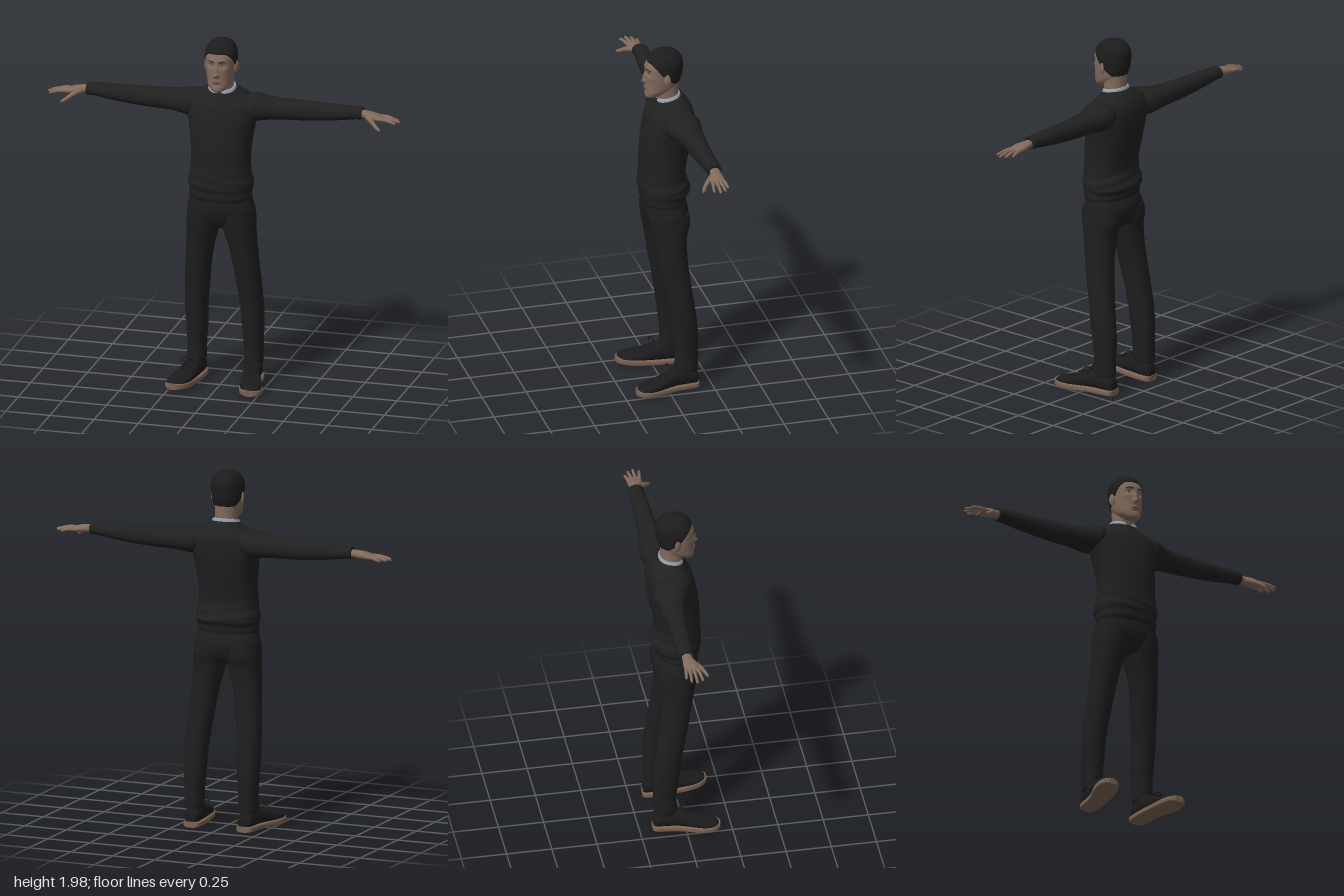
import * as THREE from 'three';

const mat = (name, color) => Object.assign(new THREE.MeshStandardMaterial({ color }), { name });

// Catmull-Rom blend of one column of the section table
function column(rows, k, f) {
  const i = Math.min(Math.floor(f), rows.length - 2), t = f - i;
  const at = (n) => rows[THREE.MathUtils.clamp(n, 0, rows.length - 1)][k];
  const [a, b, c, d] = [at(i - 1), at(i), at(i + 1), at(i + 2)];
  return b + 0.5 * t * (c - a + t * (2 * a - 5 * b + 4 * c - d + t * (3 * (b - c) + d - a)));
}

// Skin a surface over sections [along, centre, halfWidth, front, back]
const AXES = {
  y: (u, p, q) => new THREE.Vector3(p, u, q),
  x: (u, p, q) => new THREE.Vector3(u, p, q),
  z: (u, p, q) => new THREE.Vector3(p, q, u),
};
function loft(rows, axis = 'y', { n = 2.2, seg = 32, sub = 4, warp } = {}) {
  const pos = [], index = [], steps = (rows.length - 1) * sub;
  // first and last two rings close the ends
  for (let r = -2; r <= steps + 2; r++) {
    const f = THREE.MathUtils.clamp(r, 0, steps) / sub;
    const shrink = r === -2 || r === steps + 2 ? 0 : 1;
    const [u, c, h, q1, q0] = [0, 1, 2, 3, 4].map((k) => column(rows, k, f));
    for (let j = 0; j < seg; j++) {
      const a = (j / seg) * Math.PI * 2, ca = Math.cos(a), sa = Math.sin(a);
      const e = (v) => Math.sign(v) * Math.abs(v) ** (2 / n) * shrink;
      const v = AXES[axis](u, c + Math.max(h, 0) * e(ca), (q0 + q1) / 2 + ((q1 - q0) / 2) * e(sa));
      if (warp) warp(v);
      pos.push(v.x, v.y, v.z);
    }
  }
  for (let r = 0; r < steps + 4; r++) {
    for (let j = 0; j < seg; j++) {
      const a = r * seg + j, b = r * seg + ((j + 1) % seg), c = a + seg, d = b + seg;
      if (axis === 'y') index.push(a, c, b, b, c, d);
      else index.push(a, b, c, b, d, c);
    }
  }
  const g = new THREE.BufferGeometry();
  g.setAttribute('position', new THREE.Float32BufferAttribute(pos, 3));
  g.setIndex(index);
  g.computeVertexNormals();
  return g;
}

// Round tube that tapers from r0 to r1 and closes at its tip
function taper(points, r0, r1) {
  const curve = new THREE.CatmullRomCurve3(points.map((p) => new THREE.Vector3(...p)));
  const len = 16, rad = 10, g = new THREE.TubeGeometry(curve, len, 1, rad);
  const p = g.attributes.position, v = new THREE.Vector3();
  for (let i = 0; i < p.count; i++) {
    const t = Math.floor(i / (rad + 1)) / len, c = curve.getPointAt(t);
    const end = THREE.MathUtils.clamp((t - 0.85) / 0.15, 0, 1);
    const r = (r0 + (r1 - r0) * t) * Math.sqrt(1 - end * end);
    v.fromBufferAttribute(p, i).sub(c).multiplyScalar(r).add(c);
    p.setXYZ(i, v.x, v.y, v.z);
  }
  g.computeVertexNormals();
  g.computeBoundingSphere();
  return g;
}

function ball(x, y, z, rx, ry, rz, turn = 0) {
  return new THREE.SphereGeometry(1, 20, 14).scale(rx, ry, rz).rotateY(turn).translate(x, y, z);
}

function mirrorX(geo) {
  const g = geo.clone().scale(-1, 1, 1), ix = g.index.array;
  for (let i = 0; i < ix.length; i += 3) [ix[i], ix[i + 1]] = [ix[i + 1], ix[i]];
  g.computeVertexNormals();
  return g;
}

export function createModel() {
  const model = new THREE.Group();
  model.name = 'standingMan';
  const M = {
    sweater: mat('sweaterCharcoal', 0x202021), trousers: mat('trouserBlack', 0x1e1e1f),
    hair: mat('hairBlack', 0x1d1c1c), skin: mat('skinBrown', 0x826a5c),
    shoe: mat('shoeBlack', 0x1b1b1c), sole: mat('soleTan', 0x7a6251),
    collar: mat('shirtBlueGrey', 0x929eac), eye: mat('eyeWhite', 0x8f8883), lip: mat('lipBrown', 0x745850),
  };
  const add = (name, geo, m) => {
    const mesh = new THREE.Mesh(geo, m);
    mesh.name = name;
    model.add(mesh);
  };
  const pair = (name, geo, m) => {
    add(name + 'Left', geo, m);
    add(name + 'Right', mirrorX(geo), m);
  };

  // Sweater body, with soft folds at the waist and a neckline lower in front
  add('sweaterBody', loft([
    [1.075, 0, 0.165, 0.095, -0.13], [1.1, 0, 0.175, 0.105, -0.14], [1.13, 0, 0.172, 0.107, -0.146],
    [1.155, 0, 0.182, 0.114, -0.162], [1.19, 0, 0.177, 0.114, -0.154], [1.25, 0, 0.167, 0.11, -0.138],
    [1.33, 0, 0.165, 0.108, -0.148], [1.4, 0, 0.17, 0.105, -0.165], [1.48, 0, 0.182, 0.095, -0.178],
    [1.55, 0, 0.196, 0.08, -0.185], [1.61, 0, 0.193, 0.062, -0.183], [1.645, 0, 0.168, 0.045, -0.165],
    [1.67, 0, 0.125, 0.032, -0.14], [1.69, 0, 0.087, 0.022, -0.12], [1.697, 0, 0.078, 0.015, -0.112],
  ], 'y', { seg: 56, warp: (v) => {
    const fold = 0.022 * Math.exp(-(((v.y - 1.2) / 0.07) ** 2)) * Math.sin(v.y * 110 + v.x * 18 + v.z * 9);
    v.x *= 1 + fold;
    v.z *= 1 + fold;
    v.y -= 0.2 * (v.z + 0.05) * THREE.MathUtils.smoothstep(v.y, 1.6, 1.69);
  } }), M.sweater);

  // Sleeves
  pair('sleeve', loft([
    [0.1, 1.605, 0.05, 0, -0.15], [0.17, 1.592, 0.074, 0.028, -0.178], [0.22, 1.589, 0.068, 0.008, -0.178],
    [0.3, 1.587, 0.058, -0.02, -0.165], [0.4, 1.587, 0.056, -0.035, -0.157], [0.5, 1.588, 0.052, -0.045, -0.15],
    [0.62, 1.593, 0.045, -0.05, -0.147], [0.72, 1.599, 0.037, -0.057, -0.143],
    [0.745, 1.6, 0.034, -0.059, -0.141], [0.755, 1.6, 0.036, -0.057, -0.143], [0.778, 1.599, 0.033, -0.06, -0.14],
  ], 'x'), M.sweater);

  // Hands: palm, four fingers and thumb
  pair('palm', loft([
    [0.75, 1.598, 0.023, -0.073, -0.125], [0.8, 1.596, 0.021, -0.07, -0.128], [0.84, 1.591, 0.021, -0.053, -0.131],
    [0.875, 1.586, 0.016, -0.05, -0.131], [0.9, 1.584, 0.011, -0.054, -0.127],
  ], 'x'), M.skin);
  [[-0.121, -0.132, 0.95], [-0.101, -0.108, 0.985], [-0.081, -0.078, 1.0], [-0.062, -0.044, 0.982]].forEach(([z0, z1, x], i) => {
    pair('finger' + (i + 1), taper([[0.87, 1.587, z0], [(0.87 + x) / 2, 1.585, (z0 + z1) / 2], [x, 1.572, z1]], 0.011, 0.0075), M.skin);
  });
  pair('thumb', taper([[0.81, 1.59, -0.08], [0.85, 1.572, -0.04], [0.875, 1.555, -0.018], [0.905, 1.538, -0.002]], 0.017, 0.008), M.skin);

  // Trousers: hips and legs
  add('trouserHips', loft([
    [0.912, 0, 0.05, 0.03, -0.09], [0.94, 0, 0.15, 0.062, -0.125], [1.0, 0, 0.187, 0.09, -0.148],
    [1.05, 0, 0.18, 0.095, -0.148], [1.1, 0, 0.166, 0.093, -0.13],
  ]), M.trousers);
  pair('trouserLeg', loft([
    [0.1, 0.16, 0.047, -0.045, -0.17], [0.13, 0.16, 0.052, -0.042, -0.172], [0.2, 0.16, 0.052, -0.046, -0.172],
    [0.3, 0.158, 0.058, -0.035, -0.174], [0.4, 0.158, 0.062, -0.022, -0.167], [0.5, 0.152, 0.065, -0.008, -0.154],
    [0.6, 0.143, 0.069, 0.01, -0.14], [0.7, 0.133, 0.072, 0.03, -0.128], [0.8, 0.12, 0.078, 0.047, -0.122],
    [0.9, 0.103, 0.09, 0.067, -0.127], [0.96, 0.097, 0.094, 0.08, -0.143], [1.03, 0.09, 0.092, 0.088, -0.143],
  ]), M.trousers);

  // Shoes: upper, sole and laces
  const foot = [
    [-0.174, 0.157, 0.025, 0.075], [-0.162, 0.158, 0.042, 0.1], [-0.12, 0.16, 0.049, 0.115],
    [-0.06, 0.165, 0.051, 0.125], [-0.02, 0.172, 0.054, 0.115], [0.03, 0.185, 0.059, 0.092],
    [0.08, 0.198, 0.064, 0.076], [0.13, 0.208, 0.06, 0.066], [0.165, 0.213, 0.044, 0.054], [0.183, 0.214, 0.018, 0.04],
  ];
  pair('shoeUpper', loft(foot.map(([z, x, w, top]) => [z, x, w - 0.003, top, 0.015]), 'z'), M.shoe);
  pair('shoeSole', loft(foot.map(([z, x, w]) => [z * 1.02, x, w + 0.003, 0.033 + Math.max(0, z) * 0.06, Math.max(0, z - 0.1) * 0.12]),
    'z', { n: 5 }), M.sole);
  for (let i = 0; i < 4; i++) {
    const z = -0.02 + i * 0.022, x = 0.173 + i * 0.005, y = 0.119 - i * 0.009;
    pair('lace' + (i + 1), taper([[x - 0.035, y - 0.016, z], [x, y + 0.002, z + 0.004], [x + 0.035, y - 0.016, z]], 0.004, 0.004), M.shoe);
  }
  for (const s of [-1, 1]) {
    pair(s < 0 ? 'bowInner' : 'bowOuter', taper([[0.172, 0.122, -0.015], [0.172 + s * 0.03, 0.14, -0.01],
      [0.172 + s * 0.052, 0.122, 0], [0.172 + s * 0.02, 0.118, 0.002]], 0.0035, 0.003), M.shoe);
  }

  // Neck and shirt collar
  add('neck', loft([
    [1.63, 0, 0.07, 0.012, -0.11], [1.68, 0, 0.064, 0.012, -0.108], [1.73, 0, 0.062, 0.02, -0.105], [1.8, 0, 0.064, 0.03, -0.108],
  ]), M.skin);
  add('shirtCollar', loft([
    [1.64, 0, 0.085, 0.024, -0.122], [1.69, 0, 0.079, 0.02, -0.117], [1.708, 0, 0.073, 0.017, -0.113], [1.712, 0, 0.067, 0.014, -0.109],
  ], 'y', { seg: 64, warp: (v) => {
    const top = THREE.MathUtils.smoothstep(v.y, 1.65, 1.71);
    v.y -= top * 0.2 * (v.z + 0.05);
    if (v.z > -0.05) v.y -= top * 0.022 * Math.max(0, 1 - Math.abs(v.x) / 0.03);
  } }), M.collar);

  // Head, its face shaped by soft bumps and hollows
  const skull = [
    [1.703, 0, 0.02, 0.072, 0.03], [1.713, 0, 0.04, 0.079, 0], [1.74, 0, 0.061, 0.08, -0.05], [1.77, 0, 0.071, 0.079, -0.095],
    [1.81, 0, 0.077, 0.08, -0.113], [1.85, 0, 0.081, 0.08, -0.123], [1.89, 0, 0.083, 0.077, -0.126],
    [1.92, 0, 0.079, 0.066, -0.123], [1.95, 0, 0.064, 0.043, -0.106], [1.967, 0, 0.043, 0.014, -0.08], [1.976, 0, 0.004, -0.028, -0.036],
  ];
  const bumps = [ // x, y, spread x, spread y, height
    [0, 1.803, 0.013, 0.011, 0.021], [0, 1.83, 0.009, 0.022, 0.013], [0.032, 1.857, 0.015, 0.011, -0.012],
    [0.03, 1.884, 0.024, 0.008, 0.004], [0, 1.766, 0.02, 0.01, 0.005], [0, 1.745, 0.022, 0.007, -0.005], [0.05, 1.83, 0.015, 0.012, 0.004],
  ];
  add('head', loft(skull, 'y', { seg: 88, sub: 6, warp: (v) => {
    if (v.z < 0) return;
    const { x, y } = v;
    for (const [bx, by, sx, sy, h] of bumps) v.z += h * Math.exp(-(((Math.abs(x) - bx) / sx) ** 2) - ((y - by) / sy) ** 2);
  } }), M.skin);
  pair('ear', ball(0.086, 1.83, -0.022, 0.008, 0.033, 0.02, -0.45), M.skin);
  pair('eye', ball(0.032, 1.856, 0.06, 0.013, 0.005, 0.007, 0.25), M.eye);
  pair('iris', ball(0.032, 1.856, 0.065, 0.0045, 0.0045, 0.003), M.hair);
  pair('eyebrow', taper([[0.014, 1.876, 0.079], [0.033, 1.882, 0.074], [0.053, 1.877, 0.06]], 0.0035, 0.002), M.hair);
  add('lips', ball(0, 1.766, 0.08, 0.022, 0.007, 0.0065), M.lip);

  // Hair cap rises out of the skull above the hairline
  const line = [[-0.14, 1.785], [-0.07, 1.79], [-0.035, 1.82], [0, 1.85], [0.03, 1.89], [0.055, 1.917], [0.12, 1.922]];
  const hairline = (z) => {
    const i = Math.max(1, line.findIndex((p) => p[0] > z)), [a, b] = [line[i - 1], line[i]];
    return a[1] + ((b[1] - a[1]) * (z - a[0])) / (b[0] - a[0]);
  };
  const centre = new THREE.Vector3(0, 1.86, -0.025);
  add('hair', loft(skull, 'y', { seg: 88, sub: 6, warp: (v) => {
    const lift = THREE.MathUtils.clamp((v.y - hairline(v.z)) * 0.6, -0.022, 0.005);
    v.sub(centre);
    v.setLength(v.length() + lift).add(centre);
  } }), M.hair);

  return model;
}
